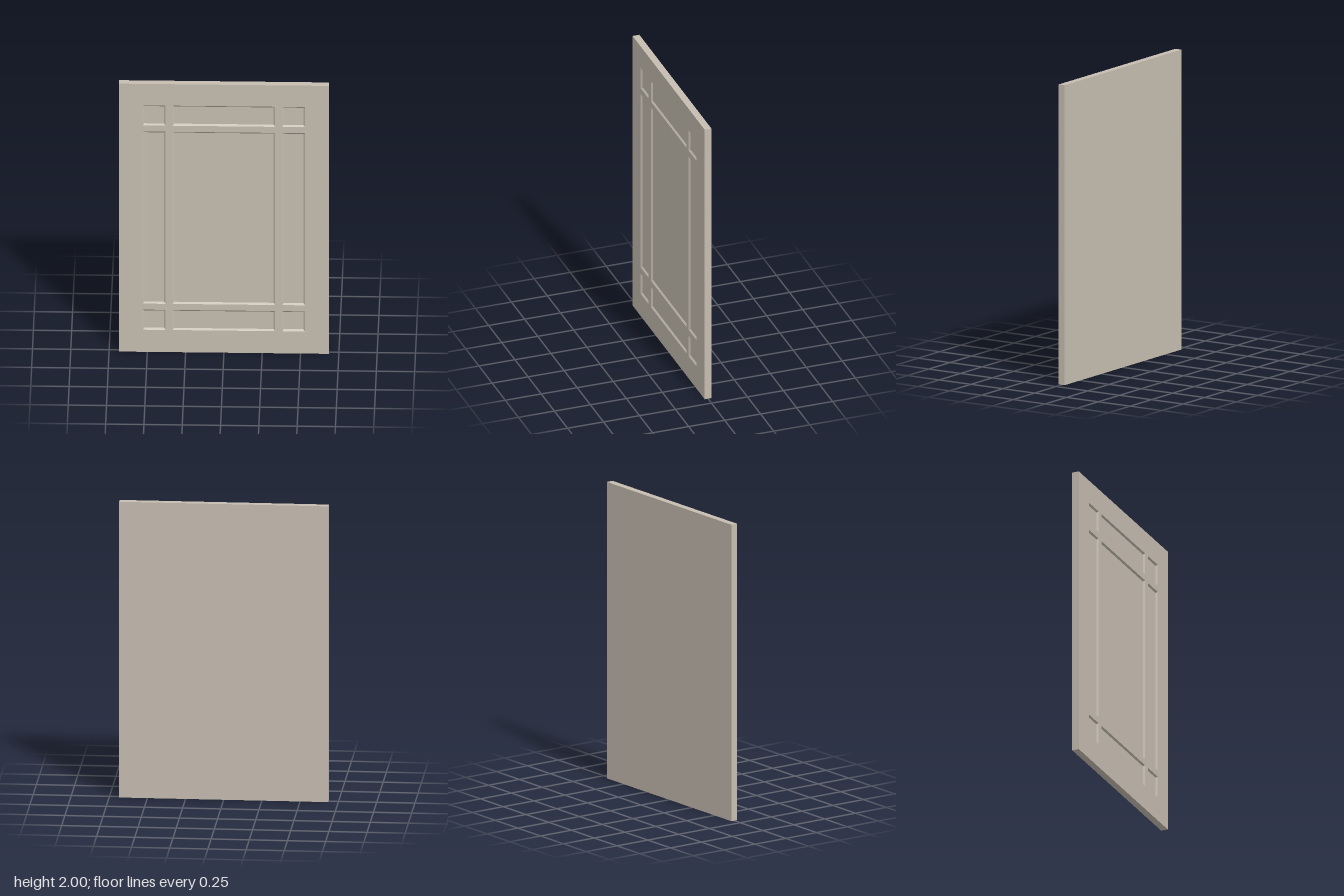
import * as THREE from 'three';

const W = 0.685, H = 2, Z = 0.0235;      // half width, height, half thickness
const BEVEL = 0.011, DEPTH = 0.01;       // sloped border of each recessed panel
const COLUMNS = [[-0.53, -0.38], [-0.335, 0.335], [0.38, 0.53]];
const ROWS = [[0.165, 0.315], [0.36, 1.645], [1.69, 1.84]];

// Corners of a rectangle, anticlockwise, shrunk by an inset
const corners = ([x0, x1], [y0, y1], inset = 0) => [
  [x0 + inset, y0 + inset], [x1 - inset, y0 + inset],
  [x1 - inset, y1 - inset], [x0 + inset, y1 - inset],
];
const toPoints = (list) => list.map(([x, y]) => new THREE.Vector2(x, y));

// Four sloped walls leading from the front face down to the panel floor
function bevelGeometry(column, row) {
  const outer = corners(column, row).map(([x, y]) => [x, y, Z]);
  const inner = corners(column, row, BEVEL).map(([x, y]) => [x, y, Z - DEPTH]);
  const positions = [];
  for (let i = 0; i < 4; i++) {
    const j = (i + 1) % 4;
    positions.push(...outer[i], ...outer[j], ...inner[j]);
    positions.push(...outer[i], ...inner[j], ...inner[i]);
  }
  const geometry = new THREE.BufferGeometry();
  geometry.setAttribute('position', new THREE.Float32BufferAttribute(positions, 3));
  geometry.computeVertexNormals();
  return geometry;
}

export function createModel() {
  const door = new THREE.Group();
  door.name = 'panelledDoor';
  const material = new THREE.MeshStandardMaterial({ color: 0xc6bdb0 });
  const add = (parent, name, geometry) => {
    const mesh = new THREE.Mesh(geometry, material);
    mesh.name = name;
    parent.add(mesh);
    return mesh;
  };

  // Slab: back and edges, with the box's front side left out
  const slab = new THREE.BoxGeometry(2 * W, H, 2 * Z);
  const index = Array.from(slab.index.array);
  index.splice(24, 6);
  slab.setIndex(index);
  slab.clearGroups();
  add(door, 'slab', slab).position.y = H / 2;

  // Front face with an opening for every panel
  const face = new THREE.Shape(toPoints(corners([-W, W], [0, H])));
  for (const column of COLUMNS) {
    for (const row of ROWS) {
      face.holes.push(new THREE.Path(toPoints(corners(column, row).reverse())));

      // Recessed panel: sloped border and flat floor
      const panel = new THREE.Group();
      panel.name = 'recessedPanel';
      add(panel, 'panelBevel', bevelGeometry(column, row));
      const floor = new THREE.ShapeGeometry(new THREE.Shape(toPoints(corners(column, row, BEVEL))));
      add(panel, 'panelFloor', floor).position.z = Z - DEPTH;
      door.add(panel);
    }
  }
  add(door, 'frontFrame', new THREE.ShapeGeometry(face)).position.z = Z;

  return door;
}
